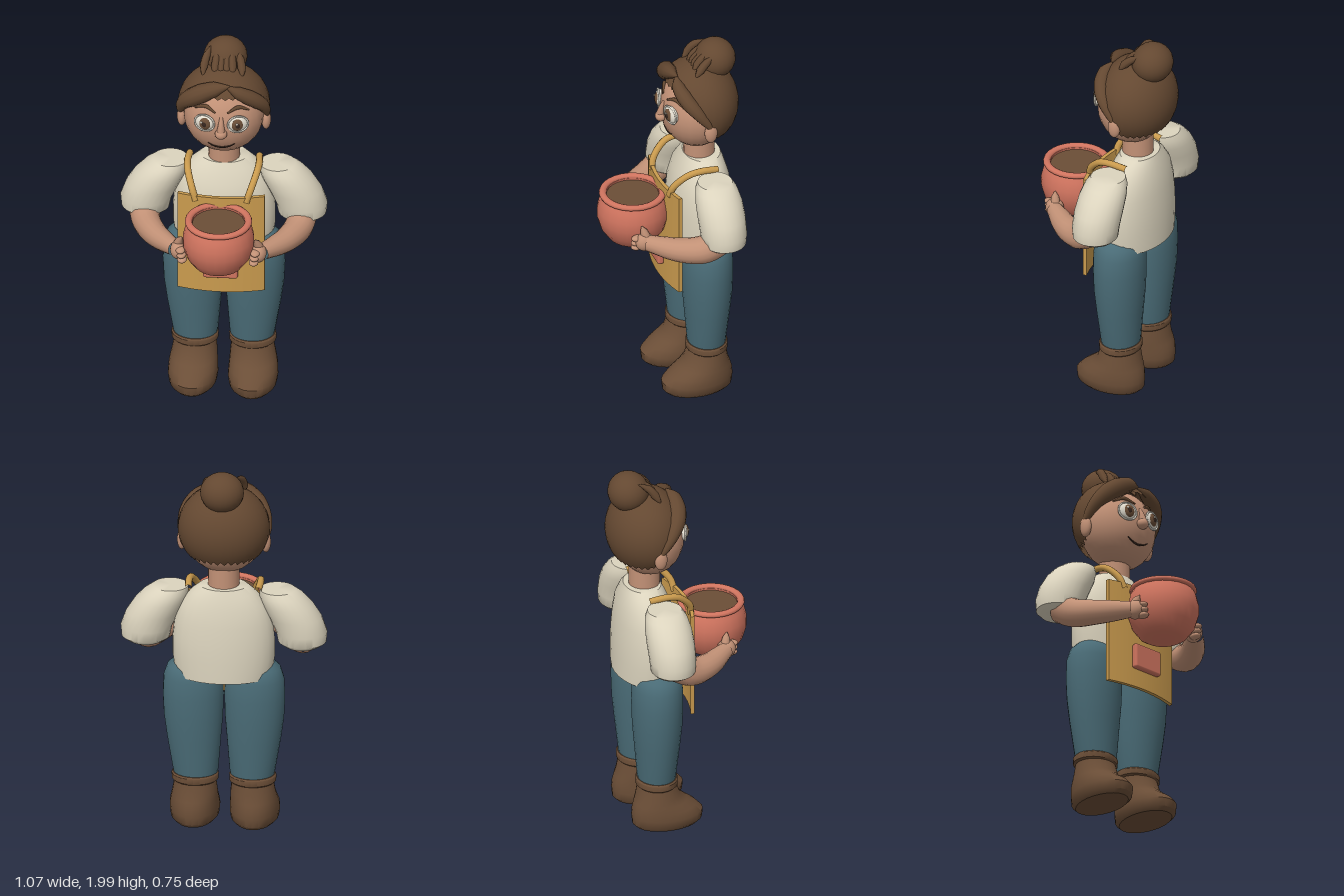
import * as THREE from 'three';
import { toCreasedNormals } from 'three/addons/utils/BufferGeometryUtils.js';
import { RoundedBoxGeometry } from 'three/addons/geometries/RoundedBoxGeometry.js';

const mat = (name, color, side = THREE.FrontSide) => {
  const m = new THREE.MeshStandardMaterial({ color, side });
  m.name = name;
  return m;
};
const V = (p) => new THREE.Vector3(...p);

// Closed body from elliptical sections [y, centreX, centreZ, radiusX, radiusZ]
function loft(sections, n = 24) {
  const pos = [], idx = [], top = sections.length - 1;
  for (const [y, cx, cz, rx, rz] of sections)
    for (let i = 0; i < n; i++) {
      const a = (i / n) * Math.PI * 2;
      pos.push(cx + rx * Math.cos(a), y, cz + rz * Math.sin(a));
    }
  for (let j = 0; j < top; j++)
    for (let i = 0; i < n; i++) {
      const a = j * n + i, b = j * n + ((i + 1) % n);
      idx.push(a, a + n, b, b, a + n, b + n);
    }
  const c = pos.length / 3;
  for (const j of [0, top]) pos.push(sections[j][1], sections[j][0], sections[j][2]);
  for (let i = 0; i < n; i++) {
    const k = (i + 1) % n;
    idx.push(c, i, k, c + 1, top * n + k, top * n + i);
  }
  const g = new THREE.BufferGeometry();
  g.setAttribute('position', new THREE.Float32BufferAttribute(pos, 3));
  g.setIndex(idx);
  return toCreasedNormals(g, 0.75);
}

// Tube along points whose radius follows a list of values
function taper(points, radii, sides = 12, steps = 24) {
  const curve = new THREE.CatmullRomCurve3(points.map(V));
  const g = new THREE.TubeGeometry(curve, steps, 1, sides);
  const p = g.attributes.position, v = new THREE.Vector3();
  for (let i = 0; i < p.count; i++) {
    const t = Math.floor(i / (sides + 1)) / steps, c = curve.getPointAt(t);
    const f = t * (radii.length - 1), k = Math.min(Math.floor(f), radii.length - 2);
    const r = THREE.MathUtils.lerp(radii[k], radii[k + 1], f - k);
    v.fromBufferAttribute(p, i).sub(c).multiplyScalar(r).add(c);
    p.setXYZ(i, v.x, v.y, v.z);
  }
  return g;
}

// Hair shell: long at the back and sides, short over the forehead
function hairShell() {
  const g = new THREE.SphereGeometry(1, 32, 18);
  const p = g.attributes.position, uv = g.attributes.uv;
  for (let i = 0; i < p.count; i++) {
    const phi = uv.getX(i) * Math.PI * 2, s = THREE.MathUtils.smoothstep(-Math.cos(phi), -0.8, 0.25);
    const th = (1 - uv.getY(i)) * THREE.MathUtils.degToRad(58 + 74 * s);
    p.setXYZ(i, 0.238 * Math.sin(th) * Math.sin(phi), 0.23 * Math.cos(th), 0.205 * Math.sin(th) * Math.cos(phi));
  }
  g.computeVertexNormals();
  return g;
}

const faceZ = (x, y) => -0.15 + 0.18 * Math.sqrt(Math.max(0, 1 - (x / 0.208) ** 2 - ((y - 1.62) / 0.21) ** 2));

export function createModel() {
  const model = new THREE.Group();
  const skin = mat('skin', 0xc29176), hair = mat('hair brown', 0x644831, THREE.DoubleSide);
  const shirt = mat('shirt cream', 0xdcd4be), jeans = mat('trouser teal', 0x4a6c77);
  const leather = mat('boot brown', 0x6b4e37), gold = mat('apron gold', 0xca9b4e);
  const clay = mat('clay', 0xd0745f), dark = mat('dark line', 0x36261e);
  const white = mat('eye white', 0xe6e0d2);

  const add = (name, geo, m, pos = [0, 0, 0], scale = [1, 1, 1], parent = model) => {
    const mesh = new THREE.Mesh(geo, m);
    mesh.name = name;
    mesh.position.set(...pos);
    mesh.scale.set(...scale);
    parent.add(mesh);
    return mesh;
  };
  const ball = (name, m, pos, scale, parent) => add(name, new THREE.SphereGeometry(1, 24, 16), m, pos, scale, parent);

  // Torso and neck
  add('shirtBody', loft([
    [0.845, 0, -0.175, 0.25, 0.162], [0.95, 0, -0.175, 0.265, 0.163], [1.05, 0, -0.175, 0.265, 0.16],
    [1.15, 0, -0.175, 0.255, 0.152], [1.24, 0, -0.18, 0.225, 0.135], [1.31, 0, -0.185, 0.17, 0.11],
    [1.345, 0, -0.187, 0.125, 0.095]], 28), shirt);
  add('neck', new THREE.CylinderGeometry(0.08, 0.082, 0.16, 20), skin, [0, 1.38, -0.175]);

  // Head, nose and mouth
  ball('head', skin, [0, 1.62, -0.15], [0.208, 0.21, 0.18]);
  add('noseBridge', taper([[0, 1.69, 0.015], [0, 1.65, 0.03], [0, 1.6, 0.04]], [0.008, 0.016, 0.026]), skin);
  ball('noseTip', skin, [0, 1.6, 0.036], [0.032, 0.028, 0.03]);
  const smile = [-0.07, -0.04, 0, 0.04, 0.07].map((x) => {
    const y = 1.497 + 5 * x * x;
    return [x, y, faceZ(x, y) + 0.001];
  });
  add('mouth', taper(smile, [0.002, 0.005, 0.005, 0.002], 6), dark);

  // Hair: shell, bun, swept fringe and loose strands
  add('hairShell', hairShell(), hair, [0, 1.66, -0.17]);
  ball('bun', hair, [0, 1.893, -0.262], [0.113, 0.105, 0.107]);
  add('fringeRight', taper([[0.04, 1.845, -0.04], [-0.05, 1.825, -0.03], [-0.14, 1.775, -0.045],
    [-0.2, 1.71, -0.09], [-0.222, 1.64, -0.14], [-0.222, 1.58, -0.18]],
  [0.004, 0.04, 0.05, 0.048, 0.036, 0.024, 0.003]), hair);
  add('fringeLeft', taper([[0.02, 1.84, -0.04], [0.09, 1.81, -0.03], [0.16, 1.765, -0.05],
    [0.205, 1.71, -0.09], [0.222, 1.64, -0.14], [0.222, 1.58, -0.18]],
  [0.004, 0.033, 0.04, 0.038, 0.03, 0.02, 0.003]), hair);
  for (const [x, h] of [[-0.105, 1.965], [-0.045, 1.96], [-0.015, 1.955], [0.015, 1.955], [0.045, 1.96], [0.095, 1.95]])
    add('bunStrand', taper([[x * 0.7, h, -0.235], [x * 0.9, h - 0.035, -0.175], [x, 1.88, -0.14], [x, 1.845, -0.12]],
      [0.003, 0.02, 0.022, 0.004], 8, 12), hair);

  // Apron: bowed panel, pocket
  const panel = new THREE.BoxGeometry(0.45, 0.57, 0.02, 16, 4, 1);
  const pp = panel.attributes.position;
  for (let i = 0; i < pp.count; i++) {
    const x = pp.getX(i) / 0.225;
    pp.setZ(i, pp.getZ(i) + 0.045 - 0.035 * x * x);
  }
  panel.computeVertexNormals();
  add('apron', panel, gold, [0, 0.935, 0]);
  add('apronPocket', new RoundedBoxGeometry(0.18, 0.135, 0.035, 3, 0.012), clay, [0, 0.815, 0.066]);

  // Plant pot with rolled rim and soil
  const profile = [[0, 0.895], [0.1, 0.895], [0.125, 0.91], [0.165, 0.965], [0.184, 1.03], [0.184, 1.08],
    [0.172, 1.13], [0.155, 1.165], [0.135, 1.165], [0.135, 1.13]].map((p) => new THREE.Vector2(...p));
  add('pot', toCreasedNormals(new THREE.LatheGeometry(profile, 24), 0.8), clay, [0, 0, 0.19]);
  add('potRim', new THREE.TorusGeometry(0.155, 0.019, 10, 28).rotateX(Math.PI / 2), clay, [0, 1.167, 0.19], [1, 0.8, 1]);
  add('soil', new THREE.CylinderGeometry(0.138, 0.138, 0.02, 24), leather, [0, 1.145, 0.19]);

  for (const s of [-1, 1]) {
    const side = new THREE.Group();
    side.name = s > 0 ? 'leftSide' : 'rightSide';
    model.add(side);
    const mirror = (pts) => pts.map(([x, y, z]) => [x * s, y, z]);
    const mirrorLoft = (sec, n) => loft(sec.map(([y, cx, ...r]) => [y, cx * s, ...r]), n);

    // Eye, brow and ear
    const eye = new THREE.Group();
    eye.name = 'eye';
    eye.position.set(0.085 * s, 1.652, 0.008);
    eye.rotation.y = 0.25 * s;
    side.add(eye);
    ball('eyeWhite', white, [0, 0, 0], [0.052, 0.046, 0.024], eye);
    add('eyelidRing', new THREE.TorusGeometry(0.053, 0.005, 8, 28), white, [0, 0, 0.008], [1, 0.9, 1], eye);
    ball('iris', leather, [-0.004 * s, 0, 0.013], [0.032, 0.035, 0.016], eye);
    ball('pupil', dark, [-0.004 * s, 0, 0.021], [0.017, 0.02, 0.0095], eye);
    ball('eyeGlint', white, [-0.01, 0.012, 0.029], [0.006, 0.006, 0.003], eye);
    const brow = [[0.03, 1.712], [0.085, 1.735], [0.14, 1.71]].map(([x, y]) => [x * s, y, faceZ(x, y) + 0.003]);
    add('brow', taper(brow, [0.004, 0.011, 0.004], 8), hair, undefined, undefined, side);
    ball('ear', skin, [0.218 * s, 1.58, -0.16], [0.025, 0.057, 0.034], side);

    // Puffed sleeve, forearm and hand
    add('sleeve', mirrorLoft([
      [1.015, 0.405, -0.16, 0.095, 0.095], [1.035, 0.405, -0.16, 0.125, 0.115], [1.09, 0.402, -0.16, 0.133, 0.12],
      [1.17, 0.37, -0.16, 0.137, 0.123], [1.24, 0.33, -0.16, 0.132, 0.12], [1.29, 0.298, -0.16, 0.115, 0.108],
      [1.32, 0.277, -0.16, 0.092, 0.09]], 24), shirt, undefined, undefined, side);
    add('forearm', taper(mirror([[0.41, 1.05, -0.14], [0.395, 1.0, -0.06], [0.34, 0.985, 0.05], [0.225, 0.99, 0.19]]),
      [0.08, 0.074, 0.066, 0.056, 0.042], 16), skin, undefined, undefined, side);
    ball('palm', skin, [0.207 * s, 0.99, 0.2], [0.042, 0.05, 0.05], side);
    add('thumb', taper(mirror([[0.215, 1.0, 0.19], [0.203, 1.04, 0.2], [0.187, 1.075, 0.21]]), [0.028, 0.025, 0.02, 0.003], 10, 12),
      skin, undefined, undefined, side);
    for (let i = 0; i < 3; i++)
      ball('finger', skin, [(0.193 - i * 0.004) * s, 1.01 - i * 0.028, 0.235], [0.025, 0.016, 0.033], side);

    // Shoulder strap
    add('apronStrap', taper(mirror([[0.13, 1.19, 0.035], [0.15, 1.25, 0.02], [0.178, 1.32, -0.05],
      [0.185, 1.335, -0.12], [0.18, 1.325, -0.21]]), [0.018, 0.018], 10), gold, undefined, undefined, side);

    // Trouser leg
    add('trouserLeg', mirrorLoft([
      [0.2, 0.147, -0.16, 0.095, 0.09], [0.3, 0.147, -0.16, 0.118, 0.1], [0.48, 0.155, -0.16, 0.14, 0.117],
      [0.6, 0.158, -0.16, 0.153, 0.128], [0.72, 0.159, -0.16, 0.158, 0.132], [0.82, 0.158, -0.16, 0.154, 0.13],
      [0.88, 0.157, -0.16, 0.135, 0.117], [0.913, 0.157, -0.16, 0.1, 0.085]], 24), jeans, undefined, undefined, side);

    // Boot and cuff
    add('boot', mirrorLoft([
      [0.005, 0.155, -0.105, 0.105, 0.165], [0.025, 0.155, -0.105, 0.124, 0.186], [0.07, 0.155, -0.105, 0.13, 0.19],
      [0.11, 0.155, -0.122, 0.127, 0.17], [0.145, 0.153, -0.142, 0.122, 0.14], [0.18, 0.15, -0.155, 0.117, 0.115],
      [0.25, 0.148, -0.16, 0.107, 0.098]], 24), leather, undefined, undefined, side);
    add('bootCuff', mirrorLoft([
      [0.237, 0.149, -0.16, 0.112, 0.1], [0.245, 0.149, -0.16, 0.121, 0.108], [0.274, 0.149, -0.16, 0.122, 0.109],
      [0.282, 0.149, -0.16, 0.115, 0.102]], 24), leather, undefined, undefined, side);
  }
  return model;
}
